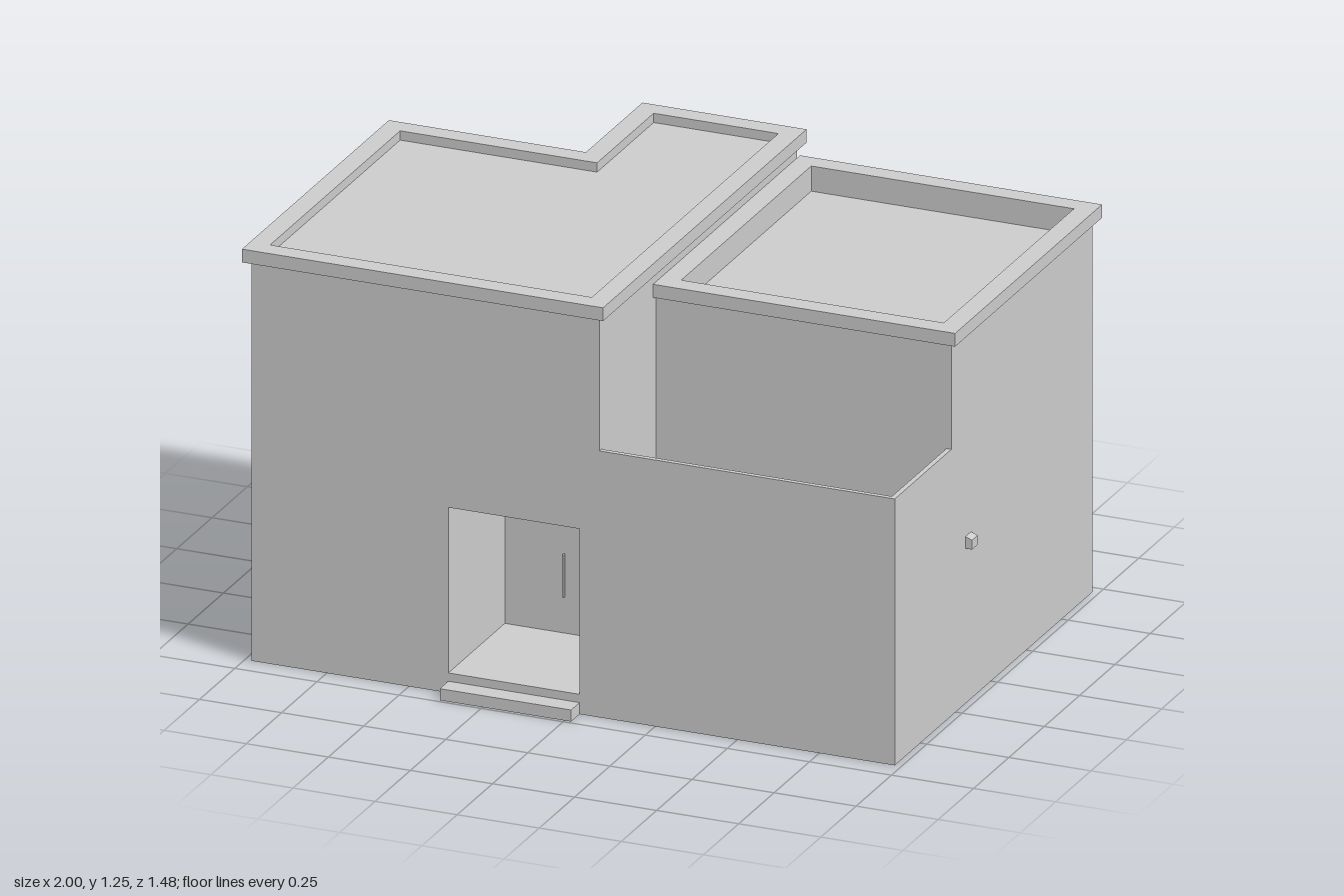
import * as THREE from 'three';

const material = new THREE.MeshStandardMaterial({ color: 0xcccccc, flatShading: true });

export function createModel() {
  const house = new THREE.Group();
  house.name = 'house';

  const add = (name, geometry) => {
    const mesh = new THREE.Mesh(geometry, material);
    mesh.name = name;
    house.add(mesh);
    return mesh;
  };
  const box = (name, x0, x1, y0, y1, z0, z1) =>
    add(name, new THREE.BoxGeometry(x1 - x0, y1 - y0, z1 - z0))
      .position.set((x0 + x1) / 2, (y0 + y1) / 2, (z0 + z1) / 2);

  const extrude = (shape, depth) => new THREE.ExtrudeGeometry(shape, { depth, bevelEnabled: false });
  const points = (list) => list.map(([x, y]) => new THREE.Vector2(x, y));

  // Raises a floor plan of [x, z] corners from y0 to y1, with an optional hole
  const raise = (name, plan, y0, y1, hole) => {
    const flip = (list) => points(list.map(([x, z]) => [x, -z]));
    const shape = new THREE.Shape(flip(plan));
    if (hole) shape.holes.push(new THREE.Path(flip(hole)));
    const geometry = extrude(shape, y1 - y0);
    geometry.rotateX(-Math.PI / 2);
    geometry.translate(0, y0, 0);
    return add(name, geometry);
  };
  const rect = (x0, x1, z0, z1) => [[x0, z1], [x1, z1], [x1, z0], [x0, z0]];
  // Plan of the tall block: a room with a narrower wing behind it
  const tallPlan = (x0, xWing, x1, zBack, zStep, zFront) =>
    [[x0, zFront], [x1, zFront], [x1, zBack], [xWing, zBack], [xWing, zStep], [x0, zStep]];

  // Foundation and entrance step
  raise('foundation', [[-0.98, 0.68], [0.98, 0.68], [0.98, -0.72], [-0.38, -0.72], [-0.38, -0.32], [-0.98, -0.32]], 0, 0.06);
  box('entranceStep', -0.38, 0.02, 0, 0.035, 0.68, 0.74);

  // Rear walls, with the flat roofs as their tops
  raise('tallBlockWalls', tallPlan(-0.98, -0.38, 0.08, -0.72, -0.32, 0.28), 0.06, 1.22);
  raise('lowBlockWalls', rect(0.08, 0.98, -0.72, 0.28), 0.06, 1.09);

  // Front walls with the recessed entrance and the terrace floor
  const front = extrude(new THREE.Shape(points([
    [-0.98, 0.06], [-0.38, 0.06], [-0.38, 0.56], [0.02, 0.56], [0.02, 0.06],
    [0.98, 0.06], [0.98, 0.545], [0.08, 0.545], [0.08, 1.22], [-0.98, 1.22],
  ])), 0.4);
  front.translate(0, 0, 0.28);
  add('frontWalls', front);

  // Terrace parapet
  raise('terraceParapet', [[0.08, 0.68], [0.98, 0.68], [0.98, 0.28], [0.965, 0.28], [0.965, 0.665], [0.08, 0.665]], 0.545, 0.805);

  // Roof rims
  raise('tallRoofRim', tallPlan(-1, -0.4, 0.1, -0.74, -0.34, 0.7), 1.208, 1.248,
    tallPlan(-0.94, -0.34, 0.04, -0.68, -0.28, 0.64));
  const lowHole = rect(0.14, 0.94, -0.68, 0.24);
  raise('lowRoofParapet', rect(0.08, 0.98, -0.72, 0.28), 1.09, 1.126, lowHole);
  raise('lowRoofRim', rect(0.08, 1, -0.74, 0.3), 1.126, 1.166, lowHole);

  // Entrance fittings on the back of the recess
  box('entrancePanel', -0.36, -0.325, 0.39, 0.425, 0.28, 0.295);
  box('doorHandle', -0.202, -0.196, 0.17, 0.3, 0.28, 0.29);

  // Small wall vents with sloping tops: x, y, z on the wall and turn about y
  const profile = new THREE.Shape(points([[0, -0.018], [0.02, -0.018], [0.02, 0.01], [0, 0.018]]));
  const ventGeometry = extrude(profile, 0.04);
  ventGeometry.translate(0, 0, -0.02);
  const back = Math.PI / 2;
  [
    [0.98, 0.486, 0.16, 0],
    [-0.98, 0.486, 0.45, Math.PI],
    [-0.98, 1.045, 0.45, Math.PI],
    [-0.98, 1.045, 0.35, Math.PI],
    [0.47, 1.028, -0.72, back],
    [-0.89, 1.028, -0.32, back],
  ].forEach(([x, y, z, turn], i) => {
    const vent = add('wallVent' + (i + 1), ventGeometry);
    vent.position.set(x, y, z);
    vent.rotation.y = turn;
  });

  return house;
}
